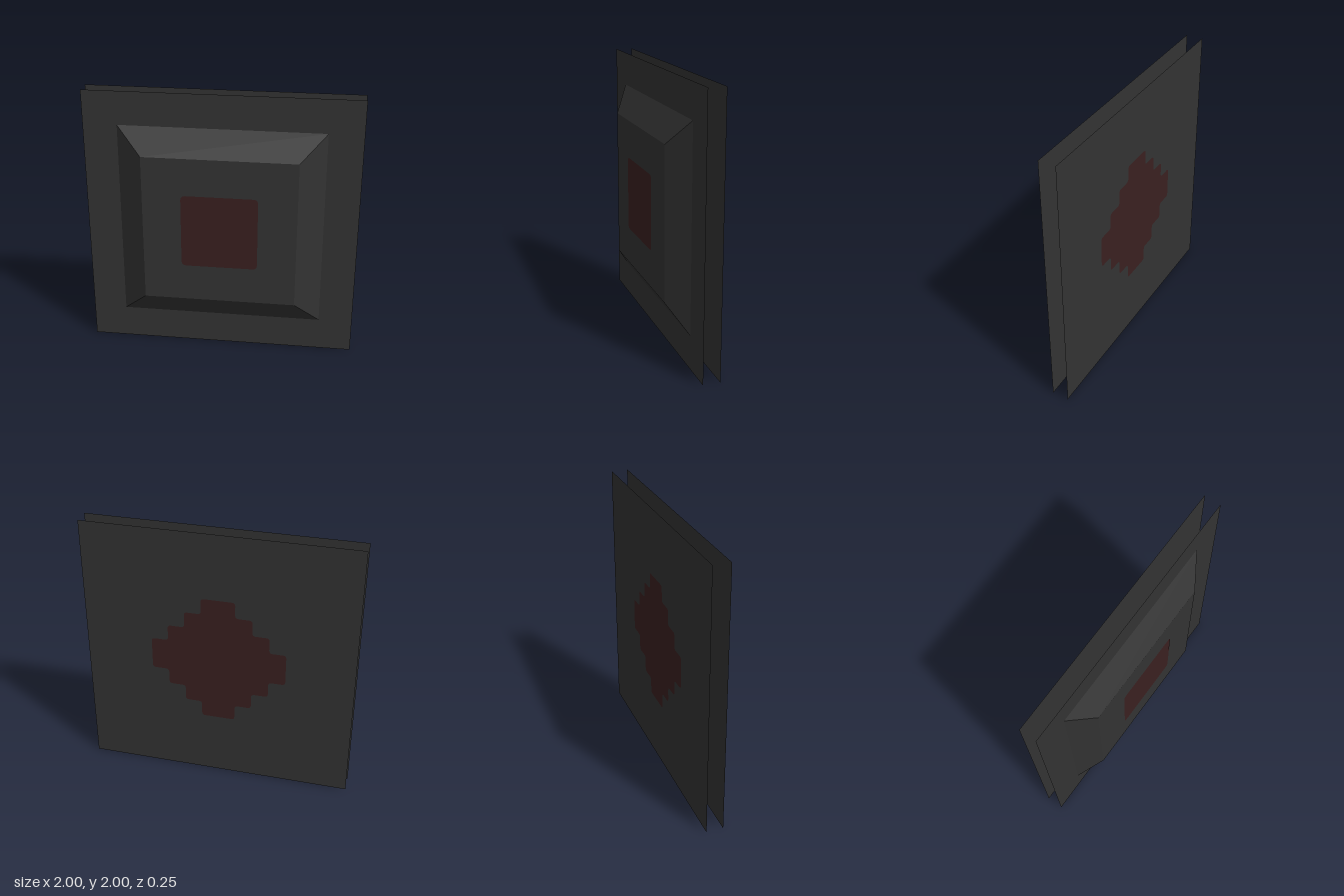
import * as THREE from 'three';

const charcoal = new THREE.MeshStandardMaterial({ color: 0x333333, side: THREE.DoubleSide });
const darkRed = new THREE.MeshStandardMaterial({ color: 0x3a2020, side: THREE.DoubleSide });
charcoal.name = 'charcoal';
darkRed.name = 'darkRed';

// Closed outline through the points, with every corner rounded by r
function roundedShape(points, r) {
  const shape = new THREE.Shape();
  const n = points.length;
  points.forEach((p, i) => {
    const toward = (q) => p.clone().add(q.clone().sub(p).setLength(r));
    const a = toward(points[(i + n - 1) % n]);
    const b = toward(points[(i + 1) % n]);
    if (i === 0) shape.moveTo(a.x, a.y);
    else shape.lineTo(a.x, a.y);
    shape.quadraticCurveTo(p.x, p.y, b.x, b.y);
  });
  shape.closePath();
  return shape;
}

// Repeats one quarter of an outline four times around the centre
function fourfold(quarter) {
  const points = [];
  for (let k = 0; k < 4; k++) {
    for (const [x, y] of quarter) {
      points.push(new THREE.Vector2(x, y).rotateAround(new THREE.Vector2(), k * Math.PI / 2));
    }
  }
  return points;
}

export function createModel() {
  const model = new THREE.Group();
  model.name = 'wallPanel';

  const add = (name, geometry, material, z, facesBack = false) => {
    const mesh = new THREE.Mesh(geometry, material);
    mesh.name = name;
    mesh.position.set(0, 1, z);
    if (facesBack) mesh.rotation.y = Math.PI;
    model.add(mesh);
  };

  // Two thin square sheets with a gap between them
  add('frontSheet', new THREE.PlaneGeometry(2, 2), charcoal, 0);
  add('backSheet', new THREE.PlaneGeometry(2, 2), charcoal, -0.125, true);

  // Raised block with four sloping sides and a flat face
  const slopes = new THREE.CylinderGeometry(0.5625 * Math.SQRT2, 0.75 * Math.SQRT2, 0.125, 4, 1, true)
    .rotateY(Math.PI / 4)
    .rotateX(Math.PI / 2)
    .toNonIndexed();
  slopes.computeVertexNormals();
  add('raisedSlopes', slopes, charcoal, 0.0625);
  add('raisedFace', new THREE.PlaneGeometry(1.125, 1.125), charcoal, 0.125);

  // Red square on the raised face
  const square = roundedShape(fourfold([[0.28, 0.28]]), 0.035);
  add('frontSquare', new THREE.ShapeGeometry(square, 4), darkRed, 0.127);

  // Red stepped diamond on the back sheet
  const step = 0.125;
  const quarter = [];
  for (let i = 1; i <= 4; i++) {
    if (i > 1) quarter.push([(5 - i) * step, (i - 1) * step]);
    quarter.push([(5 - i) * step, i * step]);
  }
  const diamond = roundedShape(fourfold(quarter), 0.025);
  add('backDiamond', new THREE.ShapeGeometry(diamond, 4), darkRed, -0.127, true);

  return model;
}
